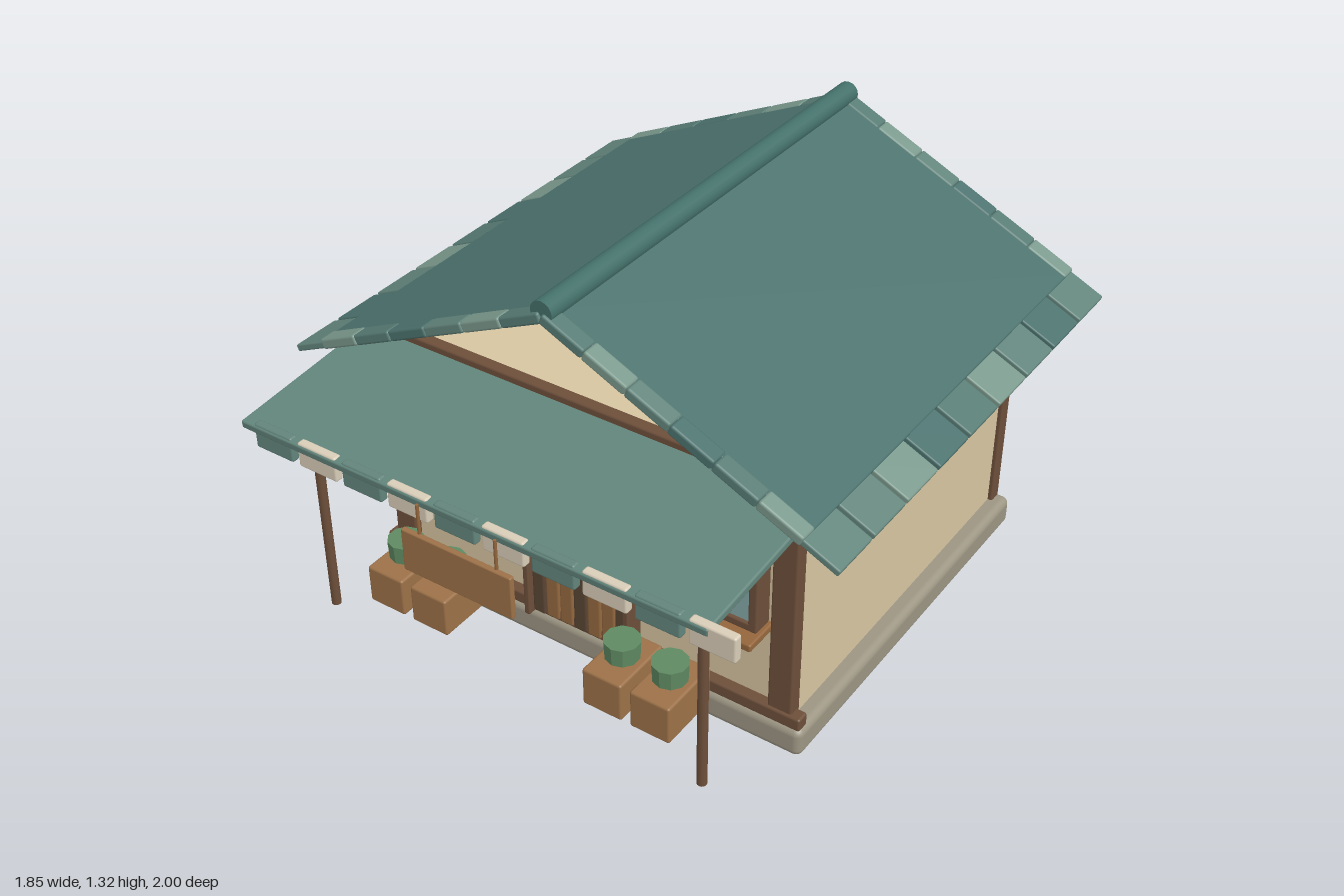
import * as THREE from 'three';
import { RoundedBoxGeometry } from 'three/addons/geometries/RoundedBoxGeometry.js';

const mat = (color) => new THREE.MeshStandardMaterial({ color });
const M = {
  wall: mat(0xd6c5a0), stone: mat(0x9c9583), wood: mat(0x6d4f3a), darkWood: mat(0x5a4535),
  plank: mat(0x95693f), crate: mat(0x9c7148), sill: mat(0x94663c), glass: mat(0x84a8a8),
  cream: mat(0xd9cdb8), roof: mat(0x4d736f), awning: mat(0x62857b), ridge: mat(0x44706a),
  leaf: mat(0x5f8a62), brass: mat(0xc2a060),
};
const tileMats = [mat(0x63857c), mat(0x7b998d), mat(0x587c75), mat(0x4d736f)];

export function createModel() {
  const root = new THREE.Group();

  const add = (name, geo, material, x, y, z, parent = root) => {
    const m = new THREE.Mesh(geo, material);
    m.name = name;
    m.position.set(x, y, z);
    parent.add(m);
    return m;
  };
  // Softly rounded box given by size and centre
  const box = (name, material, w, h, d, x, y, z, parent = root) => {
    const r = Math.min(0.008, Math.min(w, h, d) * 0.25);
    return add(name, new RoundedBoxGeometry(w, h, d, 2, r), material, x, y, z, parent);
  };
  const group = (name, parent = root) => {
    const g = new THREE.Group();
    g.name = name;
    parent.add(g);
    return g;
  };

  // Foundation and body (the body is a closed box, open space under the roof)
  add('foundation', new RoundedBoxGeometry(1.53, 0.1, 1.33, 3, 0.025), M.stone, 0, 0.05, -0.19);
  add('walls', new RoundedBoxGeometry(1.42, 0.84, 1.26, 3, 0.02), M.wall, 0, 0.485, -0.195);

  // Timber frame
  for (const s of [-1, 1]) {
    for (const z of [0.437, -0.822]) box('cornerPost', M.wood, 0.08, 0.83, 0.048, s * 0.685, 0.505, z);
  }
  box('groundBeam', M.wood, 1.515, 0.045, 0.045, 0, 0.12, 0.447);
  box('topBeam', M.wood, 1.45, 0.05, 0.04, 0, 0.9, 0.437);

  // Door with planks, frame and knob
  const door = group('door');
  for (let i = 0; i < 5; i++) {
    box('doorPlank', i === 2 ? M.darkWood : M.plank, 0.049, 0.56, 0.04, (i - 2) * 0.051, 0.385, 0.455, door);
  }
  for (const s of [-1, 1]) {
    box('doorEdgePlank', M.darkWood, 0.046, 0.56, 0.042, s * 0.152, 0.385, 0.457, door);
    box('doorJamb', M.wood, 0.02, 0.6, 0.07, s * 0.182, 0.4, 0.465, door);
  }
  box('doorLintel', M.wood, 0.385, 0.04, 0.07, 0, 0.685, 0.465, door);
  add('doorKnob', new THREE.SphereGeometry(0.018, 16, 12), M.brass, 0.115, 0.385, 0.488, door);

  // Windows
  for (const s of [-1, 1]) {
    const w = group('window');
    w.position.set(s * 0.512, 0.56, 0.46);
    box('glass', M.glass, 0.18, 0.23, 0.03, 0, 0, 0.02, w);
    for (const e of [-1, 1]) {
      box('windowStile', M.wood, 0.03, 0.27, 0.07, e * 0.102, 0, 0.01, w);
      box('windowRail', M.wood, 0.23, 0.028, 0.07, 0, e * 0.122, 0.01, w);
    }
    box('mullion', M.cream, 0.018, 0.24, 0.02, 0, 0, 0.04, w);
    box('windowSill', M.sill, 0.27, 0.026, 0.125, -s * 0.006, -0.147, 0.032, w);
  }

  // Main roof: each slope is a panel with eave tiles and rake tiles
  const angle = 0.435;
  for (const s of [-1, 1]) {
    const slope = group('roofSlope');
    slope.position.y = 1.272;
    slope.rotation.z = -s * angle;
    box('roofPanel', M.roof, 0.9, 0.026, 1.53, s * 0.445, 0, -0.197, slope);
    for (let i = 0; i < 9; i++) {
      const m = tileMats[[0, 0, 1, 3, 2, 1, 0, 3, 0][s < 0 ? i : 8 - i]];
      box('eaveTile', m, 0.15, 0.022, 0.166, s * 0.942, -0.004, -0.913 + i * 0.1787, slope);
    }
    for (const z of [0.575, -0.97]) {
      for (let i = 0; i < 6; i++) {
        const m = tileMats[[2, 1, 0, 3, 2, 1][i]];
        box('rakeTile', m, 0.149, 0.034, 0.06, s * (0.075 + i * 0.149), 0, z, slope);
      }
    }
  }
  const ridge = add('ridge', new THREE.CylinderGeometry(0.036, 0.036, 1.59, 16), M.ridge, 0, 1.285, -0.2);
  ridge.rotation.x = Math.PI / 2;

  // Front awning with hanging trim and posts
  const awning = box('awning', M.awning, 1.55, 0.026, 0.545, 0, 0.868, 0.704);
  awning.rotation.x = 0.085;
  for (let i = 0; i < 10; i++) {
    const m = i % 2 ? M.cream : tileMats[0];
    box('awningTrim', m, 0.138, 0.08, 0.028, -0.66 + i * 0.1605, 0.824, 0.958);
  }
  for (const s of [-1, 1]) {
    add('awningPost', new THREE.CylinderGeometry(0.015, 0.015, 0.72, 12), M.wood, s * 0.66, 0.5, 0.815);
  }

  // Blank hanging board on two cords
  box('hangingBoard', M.crate, 0.37, 0.138, 0.018, 0, 0.685, 0.99);
  for (const s of [-1, 1]) {
    add('boardCord', new THREE.CylinderGeometry(0.005, 0.005, 0.11, 8), M.sill, s * 0.13, 0.795, 0.985);
  }

  // Produce crates, each with a leafy bundle on top
  for (const x of [-0.472, -0.31, 0.31, 0.47]) {
    const c = group('produceCrate');
    c.position.set(x, 0, 0.688);
    box('crate', M.crate, 0.132, 0.128, 0.205, 0, 0.255, 0, c);
    const leaf = M.leaf.clone();
    leaf.flatShading = true;
    add('greens', new THREE.CylinderGeometry(0.055, 0.052, 0.06, 10), leaf, 0, 0.357, 0, c);
  }

  return root;
}
